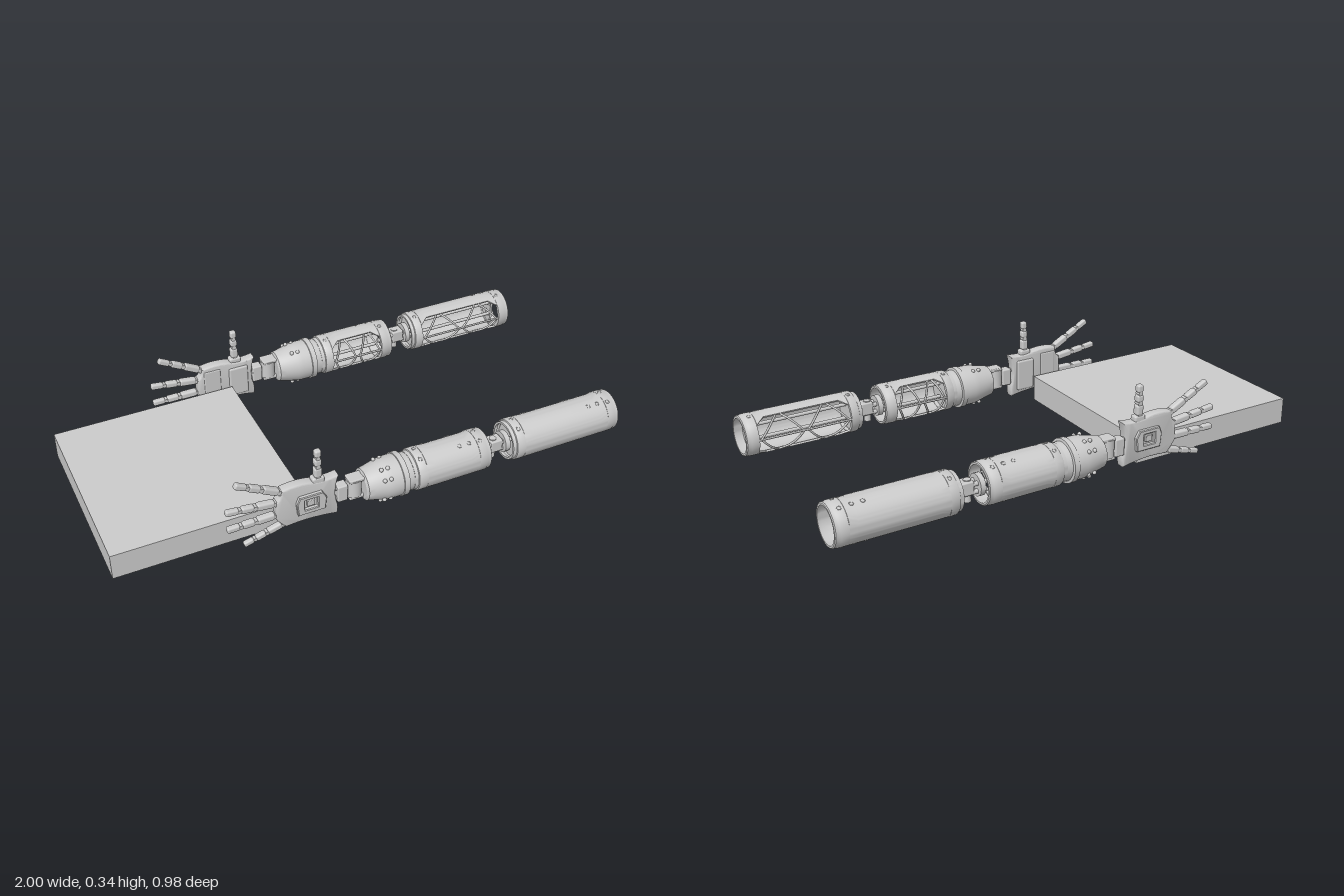
import * as THREE from 'three';
import { toCreasedNormals } from 'three/addons/utils/BufferGeometryUtils.js';
import { RoundedBoxGeometry } from 'three/addons/geometries/RoundedBoxGeometry.js';

const grey = new THREE.MeshStandardMaterial({ color: 0xcccccc, side: THREE.DoubleSide });
const R = 0.081;      // arm shell radius
const OPEN = 1.12;    // half angle of the shell windows

function add(parent, name, geometry, x = 0, y = 0, z = 0) {
  const mesh = new THREE.Mesh(geometry, grey);
  mesh.name = name;
  mesh.position.set(x, y, z);
  parent.add(mesh);
  return mesh;
}

// Solid of revolution along x from [x, radius] pairs
function turned(points, sides = 40) {
  const g = new THREE.LatheGeometry(points.map(([x, r]) => new THREE.Vector2(r, x)), sides);
  return toCreasedNormals(g.rotateZ(-Math.PI / 2), 0.5);
}

const rod = (length, r) => new THREE.CylinderGeometry(r, r, length, 14).rotateZ(Math.PI / 2);

// Point on a cylinder around x; angle 0 faces the inner side (-z)
const around = (x, a, r) => new THREE.Vector3(x, r * Math.sin(a), -r * Math.cos(a));

// Hollow tube along x from stations [x, outer radius, inner radius, half window angle]
function shellGeometry(stations, n = 48) {
  const pos = [], index = [], m = 2 * n + 2;
  for (const [x, ro, ri, w] of stations) {
    for (let j = 0; j < m; j++) {
      const t = j <= n ? j / n : (m - 1 - j) / n;
      pos.push(...around(x, w + t * (2 * Math.PI - 2 * w), j <= n ? ro : ri).toArray());
    }
  }
  for (let i = 0; i < stations.length - 1; i++) {
    for (let j = 0; j < m; j++) {
      const a = i * m + j, b = i * m + (j + 1) % m;
      index.push(a, b, a + m, b, b + m, a + m);
    }
  }
  const g = new THREE.BufferGeometry();
  g.setAttribute('position', new THREE.Float32BufferAttribute(pos, 3));
  g.setIndex(index);
  return toCreasedNormals(g, 0.6);
}

// Curved strut following the shell from one point to another
function strut(parent, x0, a0, x1, a1) {
  const pts = [];
  for (let i = 0; i <= 6; i++) {
    const t = i / 6;
    pts.push(around(x0 + (x1 - x0) * t, a0 + (a1 - a0) * t, R - 0.005));
  }
  add(parent, 'windowStrut', new THREE.TubeGeometry(new THREE.CatmullRomCurve3(pts), 12, 0.0045, 6));
}

// Arm section: shell with a trussed window on its inner side
function armSection(parent, name, x0, x1, bays) {
  const g = new THREE.Group();
  g.name = name;
  parent.add(g);
  const ri = R - 0.008, a = x0 + 0.05, b = x1 - 0.05, ramp = 0.035;
  add(g, 'shell', shellGeometry([
    [x0, 0.066, 0.066, 0], [x0, 0.074, 0.066, 0], [x0 + 0.014, 0.075, 0.068, 0],
    [x0 + 0.016, R - 0.002, ri, 0], [x0 + 0.02, R, ri, 0],
    [a, R, ri, 0], [a + 0.001, R, ri, 0.75], [a + ramp, R, ri, OPEN],
    [b - ramp, R, ri, OPEN], [b - 0.001, R, ri, 0.75], [b, R, ri, 0],
    [x1 - 0.02, R, ri, 0], [x1 - 0.016, R - 0.002, ri, 0],
    [x1 - 0.003, R - 0.002, 0.068, 0], [x1, 0.075, 0.068, 0], [x1, 0.068, 0.068, 0],
  ]));
  // Middle bar and zigzag
  strut(g, a, 0, b, 0);
  const step = (b - a) / bays;
  for (const s of [-1, 1]) {
    for (let i = 0; i < bays; i++) {
      const up = i % 2 === 0;
      const xa = a + i * step + 0.01, xb = a + (i + 1) * step - 0.01;
      strut(g, xa, s * (up ? 0.03 : OPEN), xb, s * (up ? OPEN : 0.03));
    }
  }
  // Bulkhead and long rods inside
  add(g, 'bulkhead', rod(0.012, 0.07), x0 + 0.03);
  for (const y of [-0.028, 0.028]) add(g, 'innerRod', rod(x1 - x0 - 0.07, 0.007), (x0 + x1) / 2, y, 0.012);
  // Screws around the shell
  const spots = [x0 + 0.035, x1 - 0.035, x1 - 0.08, x1 - 0.12];
  spots.forEach((x, i) => {
    for (const angle of i < 2 ? [1.35, 2.05, -1.35, -2.05] : [2.0, -2.0]) {
      const p = around(x, angle, R - 0.001);
      const screw = add(g, 'screw', new THREE.TorusGeometry(0.007, 0.002, 6, 14), p.x, p.y, p.z);
      screw.lookAt(p.x, p.y * 2, p.z * 2);
    }
  });
  return g;
}

// Jointed finger of three links, from a base point to a tip point
function finger(parent, name, base, tip, width) {
  const g = new THREE.Group();
  g.name = name;
  const from = new THREE.Vector3(...base), dir = new THREE.Vector3(...tip).sub(from);
  const len = dir.length();
  g.position.copy(from);
  g.quaternion.setFromUnitVectors(new THREE.Vector3(0, 1, 0), dir.normalize());
  parent.add(g);
  const links = [[0, 0.4, 1], [0.4, 0.7, 0.92], [0.7, 1, 0.82]];
  for (const [s, e, k] of links) {
    const h = (e - s) * len - 0.009, w = width * k;
    add(g, 'fingerLink', new RoundedBoxGeometry(w, h, w, 3, w * 0.3), 0, s * len + 0.009 + h / 2, 0);
    add(g, 'fingerJoint', new THREE.CylinderGeometry(w * 0.36, w * 0.36, w * 0.9, 14).rotateX(Math.PI / 2), 0, s * len + 0.004, 0);
    add(g, 'fingerPin', new THREE.BoxGeometry(w * 0.5, 0.024, w * 0.5), 0, s * len + 0.006, 0);
  }
}

function hand(parent) {
  const g = new THREE.Group();
  g.name = 'hand';
  parent.add(g);
  // Palm body with flared heel
  const s = new THREE.Shape();
  s.moveTo(-0.165, 0.09);
  s.quadraticCurveTo(-0.225, 0.08, -0.27, 0.092);
  s.quadraticCurveTo(-0.33, 0.105, -0.385, 0.092);
  s.quadraticCurveTo(-0.385, 0.06, -0.405, 0.045);
  s.lineTo(-0.408, -0.03);
  s.quadraticCurveTo(-0.39, -0.06, -0.37, -0.078);
  s.quadraticCurveTo(-0.3, -0.07, -0.25, -0.076);
  s.quadraticCurveTo(-0.2, -0.08, -0.17, -0.088);
  s.quadraticCurveTo(-0.162, -0.06, -0.172, -0.03);
  s.quadraticCurveTo(-0.185, 0.02, -0.165, 0.09);
  const palm = new THREE.ExtrudeGeometry(s, {
    depth: 0.026, bevelThickness: 0.007, bevelSize: 0.006, bevelOffset: -0.006, bevelSegments: 3, curveSegments: 10,
  });
  add(g, 'palm', toCreasedNormals(palm, 0.6), 0, 0, -0.018);

  // Framed panel on the back of the hand
  const frame = new THREE.Shape();
  frame.moveTo(-0.325, -0.03).lineTo(-0.225, -0.03).lineTo(-0.22, 0.02).lineTo(-0.235, 0.045).lineTo(-0.32, 0.045).lineTo(-0.33, 0.02);
  const hole = new THREE.Path();
  hole.moveTo(-0.305, -0.016).lineTo(-0.305, 0.034).lineTo(-0.248, 0.034).lineTo(-0.248, -0.016);
  frame.holes.push(hole);
  add(g, 'backPanelFrame', new THREE.ExtrudeGeometry(frame, { depth: 0.014, bevelThickness: 0.003, bevelSize: 0.003, bevelSegments: 1 }), 0, 0, 0.012);
  add(g, 'backPanelButton', new RoundedBoxGeometry(0.03, 0.026, 0.012, 2, 0.003), -0.277, 0.01, 0.019);
  // Palm pads
  add(g, 'heelPad', new RoundedBoxGeometry(0.08, 0.13, 0.018, 3, 0.008), -0.235, 0, -0.023);
  add(g, 'gripPad', new RoundedBoxGeometry(0.07, 0.14, 0.014, 3, 0.006), -0.345, 0.008, -0.021);

  finger(g, 'indexFinger', [-0.385, 0.082, -0.002], [-0.553, 0.172, 0], 0.028);
  finger(g, 'middleFinger', [-0.4, 0.037, -0.002], [-0.592, 0.06, 0], 0.028);
  finger(g, 'ringFinger', [-0.4, -0.018, -0.002], [-0.59, -0.02, 0], 0.028);
  finger(g, 'littleFinger', [-0.375, -0.068, -0.002], [-0.53, -0.112, 0], 0.025);
  // Thumb on its socket
  add(g, 'thumbSocket', new RoundedBoxGeometry(0.048, 0.03, 0.034, 3, 0.008), -0.242, 0.09, -0.003);
  finger(g, 'thumb', [-0.242, 0.095, -0.002], [-0.242, 0.224, 0], 0.03);
}

function arm() {
  const g = new THREE.Group();
  // Upper arm, with half end plate around two notches
  const upper = armSection(g, 'upperArm', 0.53, 1, 4);
  const plate = new THREE.Shape();
  plate.absarc(0, 0, 0.071, -Math.PI / 2, Math.PI / 2, false);
  for (const y of [-0.037, 0.013]) {
    const notch = new THREE.Path();
    notch.moveTo(0.004, y).lineTo(0.004, y + 0.024).lineTo(0.034, y + 0.024).lineTo(0.034, y);
    plate.holes.push(notch);
  }
  add(upper, 'endPlate', new THREE.ExtrudeGeometry(plate, { depth: 0.01, bevelEnabled: false, curveSegments: 24 }).rotateY(-Math.PI / 2), 0.965);

  // Elbow: parallel rods, clevis and pin
  const elbow = new THREE.Group();
  elbow.name = 'elbow';
  g.add(elbow);
  for (const y of [-0.018, 0.012]) for (const z of [-0.014, 0.014]) add(elbow, 'elbowRod', rod(0.14, 0.009), 0.48, y, z);
  add(elbow, 'elbowBlock', new RoundedBoxGeometry(0.05, 0.05, 0.048, 2, 0.005), 0.488, 0.002, 0);
  add(elbow, 'elbowPin', new THREE.CylinderGeometry(0.014, 0.014, 0.085, 18), 0.48, -0.012, 0);
  add(elbow, 'elbowCollar', rod(0.02, 0.042), 0.437);
  add(elbow, 'elbowCollar', rod(0.02, 0.042), 0.527);

  armSection(g, 'forearm', 0.115, 0.435, 4);

  // Wrist cuff
  const cuff = new THREE.Group();
  cuff.name = 'wristCuff';
  g.add(cuff);
  add(cuff, 'cuffBody', turned([[-0.07, 0], [-0.07, 0.05], [-0.064, 0.061], [-0.04, 0.066], [0.01, 0.078],
    [0.03, 0.08], [0.068, 0.08], [0.069, 0.084], [0.09, 0.084], [0.092, 0.074], [0.12, 0.072], [0.12, 0]]));
  for (const angle of [1.1, 2.0, -1.1, -2.0, Math.PI - 0.6, Math.PI + 0.6]) {
    for (const x of [-0.005, 0.02]) {
      const p = around(x, angle, 0.078);
      add(cuff, 'cuffScrew', new THREE.SphereGeometry(0.008, 10, 8), p.x, p.y, p.z);
    }
  }

  // Wrist joint
  const wrist = new THREE.Group();
  wrist.name = 'wristJoint';
  g.add(wrist);
  add(wrist, 'wristPivot', new THREE.CylinderGeometry(0.03, 0.03, 0.07, 24), -0.1, 0.008, 0);
  for (const y of [-0.032, 0.044]) add(wrist, 'wristFork', new RoundedBoxGeometry(0.07, 0.014, 0.05, 2, 0.004), -0.09, y, 0);
  for (const y of [-0.022, 0.022]) add(wrist, 'wristRod', rod(0.12, 0.01), -0.14, y, 0);
  add(wrist, 'wristBlock', new RoundedBoxGeometry(0.04, 0.07, 0.04, 2, 0.005), -0.15, 0, 0);
  hand(g);
  return g;
}

export function createModel() {
  const model = new THREE.Group();
  model.name = 'armsWithSlab';
  add(model, 'slab', new THREE.BoxGeometry(0.73, 0.105, 0.73), -0.635, 0.065, 0);
  // Mirrored pair of arms
  for (const s of [1, -1]) {
    const a = arm();
    a.name = s > 0 ? 'leftArm' : 'rightArm';
    a.position.set(0, 0.13, s * 0.404);
    a.scale.z = s;
    model.add(a);
  }
  return model;
}
